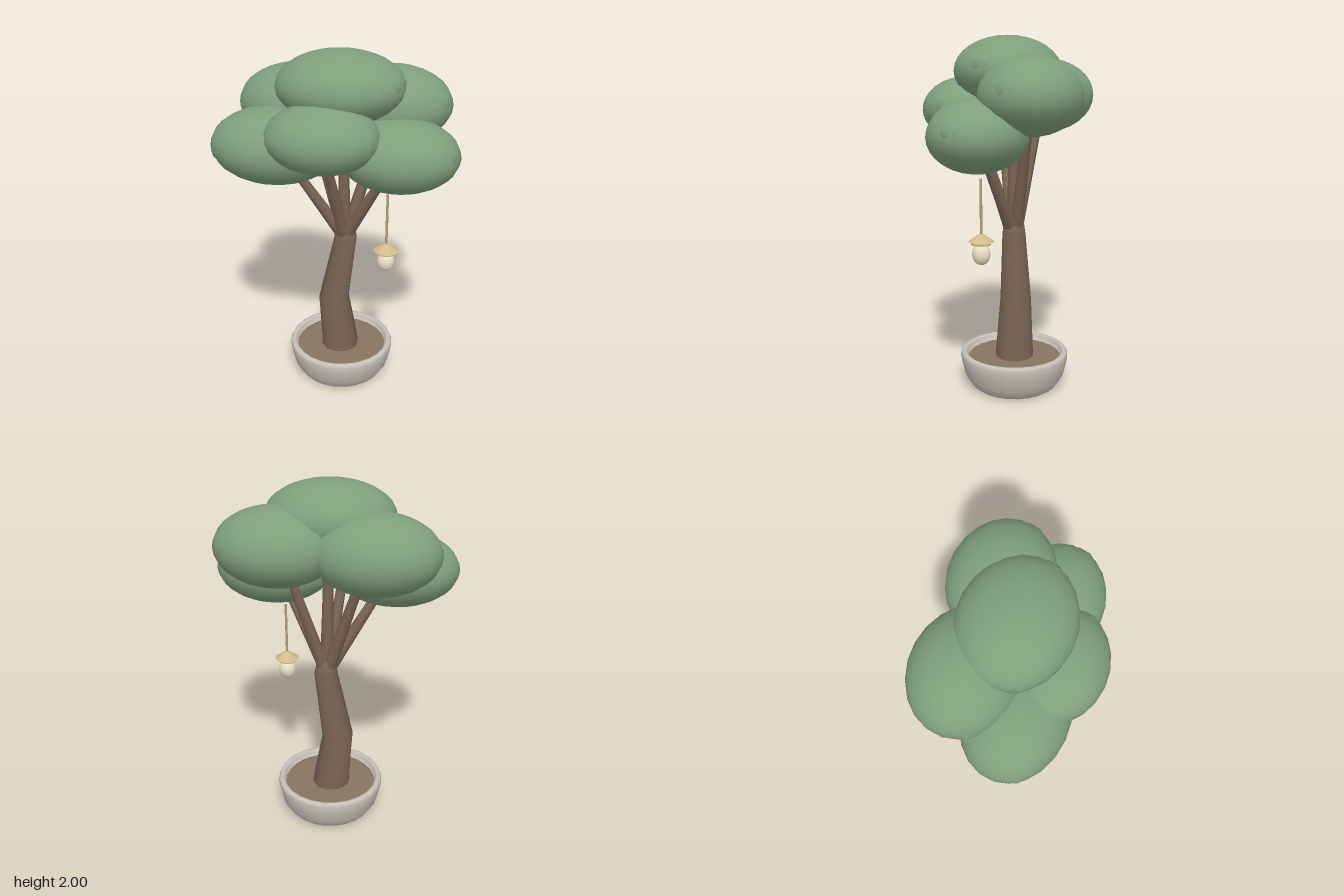
import * as THREE from 'three';

const mat = (color) => new THREE.MeshStandardMaterial({ color });
const leafMat = mat(0x7f9f7c), barkMat = mat(0x7a6453), potMat = mat(0xc8c2b9);
const soilMat = mat(0x85745f), cordMat = mat(0xb59f78), capMat = mat(0xd2bb8a), bulbMat = mat(0xeee2c6);

function add(parent, name, geometry, material, x = 0, y = 0, z = 0) {
  const mesh = new THREE.Mesh(geometry, material);
  mesh.name = name;
  mesh.position.set(x, y, z);
  parent.add(mesh);
  return mesh;
}

const lathe = (points, sides) =>
  new THREE.LatheGeometry(points.map(([r, y]) => new THREE.Vector2(r, y)), sides);

// Tapered limb between two points
function limb(parent, name, from, to, r0, r1) {
  const a = new THREE.Vector3(...from), b = new THREE.Vector3(...to);
  const dir = b.clone().sub(a);
  const mesh = add(parent, name, new THREE.CylinderGeometry(r1, r0, dir.length(), 8), barkMat);
  mesh.position.copy(a).add(b).multiplyScalar(0.5);
  mesh.quaternion.setFromUnitVectors(new THREE.Vector3(0, 1, 0), dir.normalize());
}

// Leaf cloud: one ellipsoid with two shallow swellings
function leafCloud(parent, name, center, radii) {
  const cloud = new THREE.Group();
  cloud.name = name;
  cloud.position.set(...center);
  cloud.scale.set(...radii);
  add(cloud, 'leafMass', new THREE.SphereGeometry(1, 22, 16), leafMat);
  const lump = new THREE.SphereGeometry(0.54, 14, 10);
  add(cloud, 'leafLump', lump, leafMat, 0.43, 0.14, 0.16);
  add(cloud, 'leafLump', lump, leafMat, -0.43, -0.05, 0.19);
  parent.add(cloud);
}

export function createModel() {
  const tree = new THREE.Group();
  tree.name = 'pottedTree';

  // Bowl pot with a rounded rim, and soil
  const pot = new THREE.Group();
  pot.name = 'pot';
  pot.position.set(0.015, 0, -0.06);
  tree.add(pot);
  add(pot, 'bowl', lathe([
    [0, 0], [0.225, 0], [0.25, 0.018], [0.287, 0.075], [0.305, 0.15], [0.311, 0.195],
    [0.303, 0.212], [0.285, 0.215], [0.272, 0.205], [0.267, 0.16], [0, 0.155],
  ], 24), potMat);
  add(pot, 'soil', new THREE.CylinderGeometry(0.27, 0.27, 0.02, 24), soilMat, 0, 0.165, 0);

  // Bent trunk: lathe rings shifted sideways
  const rings = [ // radius, height, sideways shift
    [0.112, 0.15, 0.008], [0.108, 0.22, 0.006], [0.09, 0.51, -0.03],
    [0.066, 0.91, 0.038], [0.052, 1.0, 0.032], [0, 1.02, 0.03],
  ];
  const trunk = lathe(rings, 10);
  const pos = trunk.attributes.position;
  for (let i = 0; i < pos.count; i++) pos.setX(i, pos.getX(i) + rings[i % rings.length][2]);
  add(tree, 'trunk', trunk, barkMat, 0, 0, -0.06);

  // Leaf clouds with the branch tip that holds each one
  const clouds = [ // center, radii, branch tip
    ['top', [0.015, 1.81, -0.02], [0.35, 0.19, 0.293], [0.02, 1.7, -0.05]],
    ['frontRight', [-0.32, 1.505, 0.09], [0.35, 0.205, 0.27], [-0.27, 1.42, 0.06]],
    ['frontLeft', [0.34, 1.485, 0.078], [0.325, 0.195, 0.265], [0.28, 1.37, 0.06]],
    ['front', [-0.04, 1.6, 0.22], [0.305, 0.18, 0.245], [-0.04, 1.5, 0.17]],
    ['backRight', [-0.24, 1.67, -0.19], [0.34, 0.21, 0.28], [-0.18, 1.56, -0.17]],
    ['backLeft', [0.27, 1.685, -0.183], [0.33, 0.208, 0.275], [0.22, 1.56, -0.17]],
  ];
  for (const [name, center, radii, tip] of clouds) {
    leafCloud(tree, name + 'LeafCloud', center, radii);
    const start = [0.032 + tip[0] * 0.06, 0.94, -0.06 + (tip[2] + 0.06) * 0.1];
    limb(tree, name + 'Branch', start, tip, 0.038, 0.023);
  }

  // Hanging lantern
  const lantern = new THREE.Group();
  lantern.name = 'lantern';
  lantern.position.set(0.29, 0, 0.075);
  tree.add(lantern);
  add(lantern, 'cord', new THREE.CylinderGeometry(0.007, 0.007, 0.31, 8), cordMat, 0, 1.1, 0);
  add(lantern, 'capBand', new THREE.CylinderGeometry(0.054, 0.054, 0.02, 16), capMat, 0, 0.91, 0);
  add(lantern, 'capCone', new THREE.CylinderGeometry(0.012, 0.07, 0.042, 16), capMat, 0, 0.937, 0);
  const bulb = add(lantern, 'bulb', new THREE.SphereGeometry(0.05, 16, 12), bulbMat, 0, 0.849, 0);
  bulb.scale.y = 1.24;

  return tree;
}
